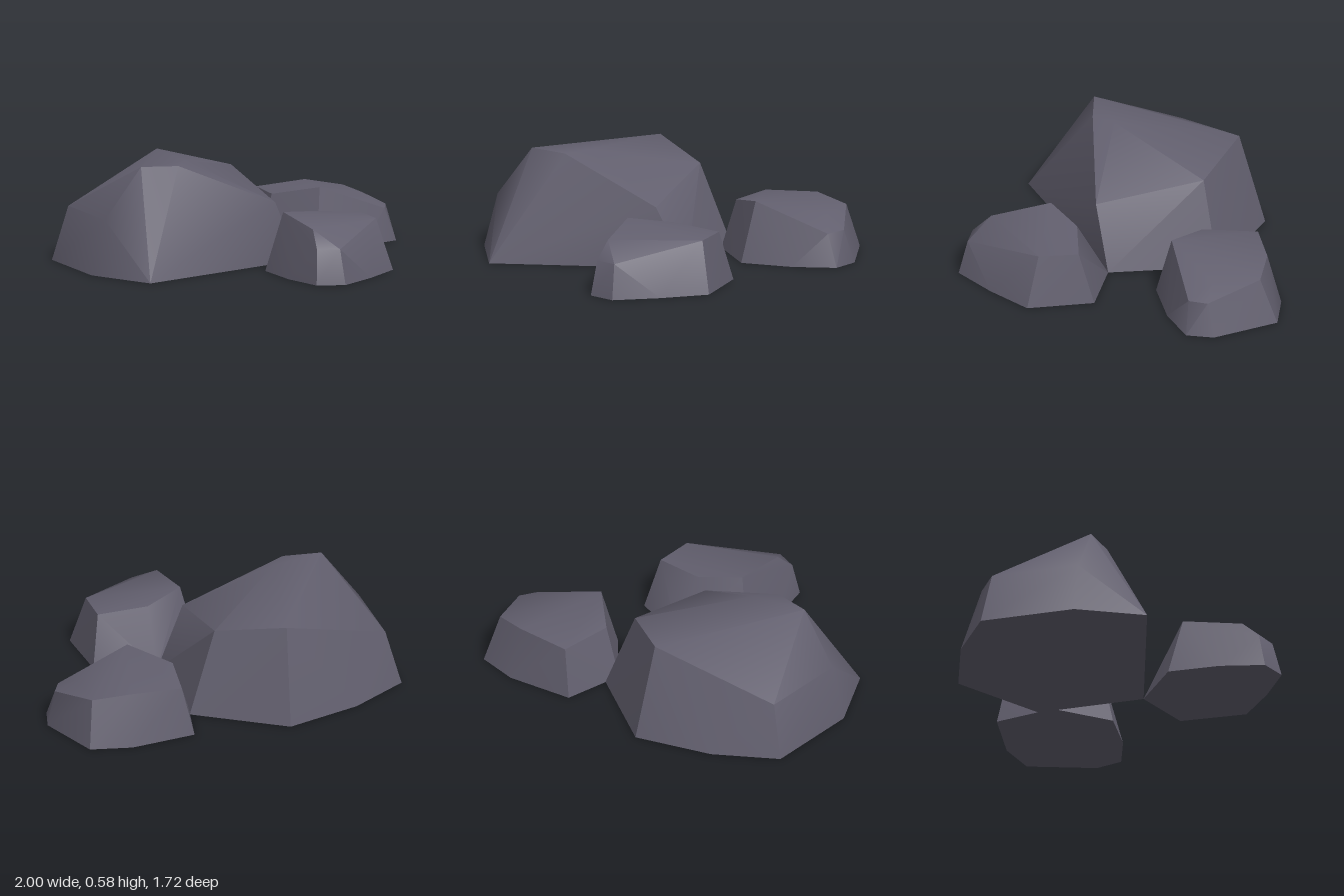
import * as THREE from 'three';
import { ConvexGeometry } from 'three/addons/geometries/ConvexGeometry.js';
import { toCreasedNormals } from 'three/addons/utils/BufferGeometryUtils.js';

const stone = new THREE.MeshStandardMaterial({ name: 'greyStone', color: 0x625f6e });

// A boulder: ground outline as [x, z], upper corners as [x, y, z]
function boulder(name, outline, corners) {
  const points = [
    ...outline.map(([x, z]) => new THREE.Vector3(x, 0, z)),
    ...corners.map(([x, y, z]) => new THREE.Vector3(x, y, z)),
  ];
  const geometry = toCreasedNormals(new ConvexGeometry(points), 0.75);
  const mesh = new THREE.Mesh(geometry, stone);
  mesh.name = name;
  return mesh;
}

export function createModel() {
  const group = new THREE.Group();
  group.name = 'rockCluster';

  // Tall boulder with a sloping top
  group.add(boulder('largeBoulder',
    [[-1, -0.51], [-0.68, -0.72], [-0.26, -0.86], [0.22, -0.55],
      [0.22, 0.05], [-0.32, 0.21], [-0.81, 0.38], [-1, 0.02]],
    [[-0.71, 0.58, 0.03], [-0.41, 0.58, -0.05], [-0.5, 0.575, 0.06],
      [0.06, 0.34, 0.1], [0.06, 0.455, -0.49], [-0.28, 0.53, -0.72],
      [-0.92, 0.3, -0.47], [-0.92, 0.3, 0.02]]));

  // Low boulder at the front
  group.add(boulder('frontBoulder',
    [[0.22, 0.05], [0.55, 0.16], [0.57, 0.53], [0.36, 0.71],
      [0.14, 0.86], [-0.01, 0.81], [-0.07, 0.57], [-0.08, 0.28]],
    [[0, 0.33, 0.34], [0.22, 0.3, 0.22], [0.5, 0.28, 0.24], [0.5, 0.28, 0.46],
      [0.03, 0.285, 0.67], [0.13, 0.19, 0.81], [0.01, 0.19, 0.77]]));

  // Low boulder at the side
  group.add(boulder('sideBoulder',
    [[0.27, -0.8], [0.64, -0.855], [0.87, -0.81], [1, -0.45],
      [0.96, -0.3], [0.73, -0.22], [0.44, -0.19], [0.2, -0.46]],
    [[0.49, 0.333, -0.27], [0.29, 0.28, -0.46], [0.33, 0.27, -0.76],
      [0.63, 0.285, -0.78], [0.83, 0.25, -0.72], [0.83, 0.25, -0.46],
      [0.95, 0.185, -0.42], [0.9, 0.18, -0.32]]));

  return group;
}
